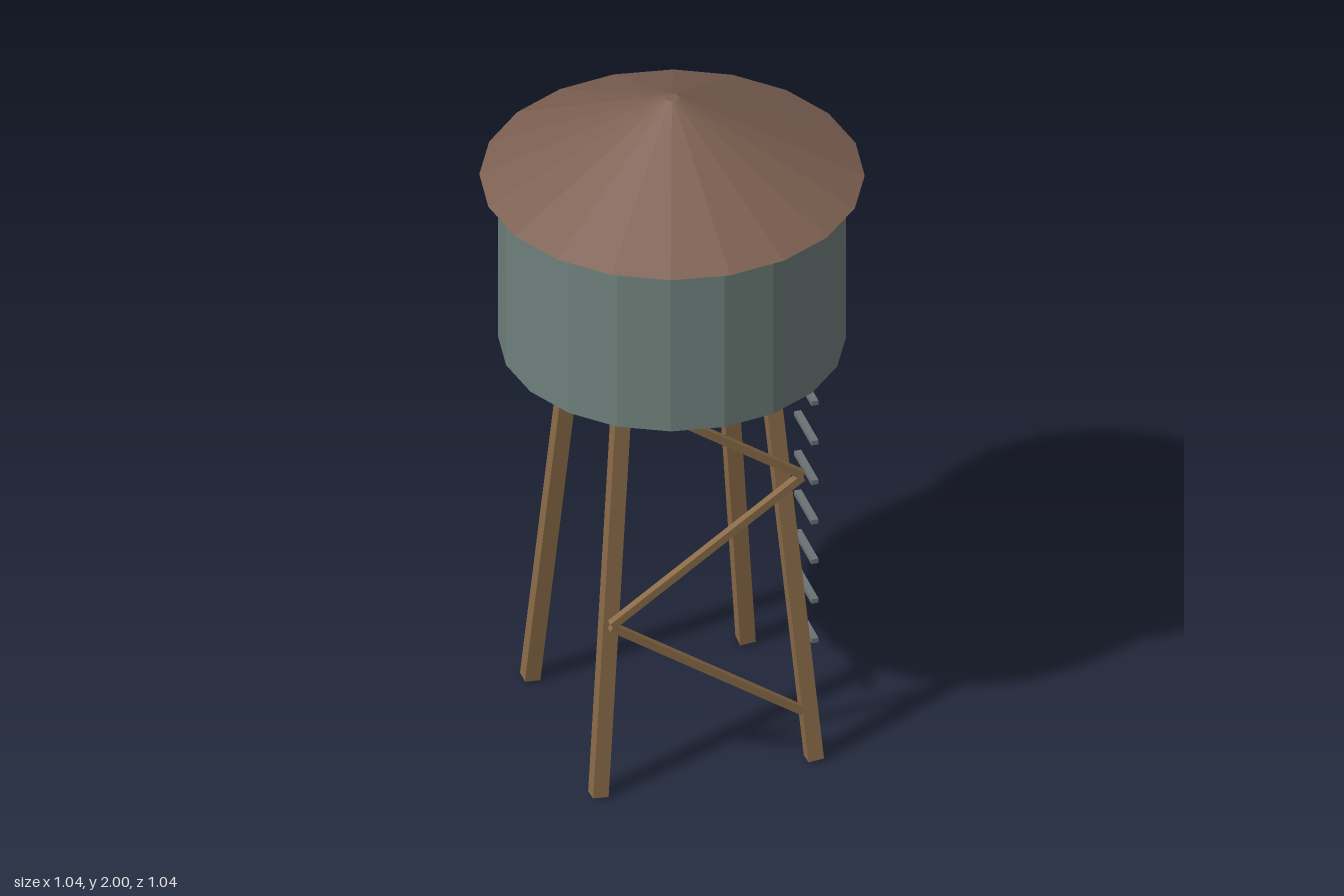
import * as THREE from 'three';

const material = (color) => new THREE.MeshStandardMaterial({ color, flatShading: true });

function addMesh(parent, name, geometry, mat) {
  const mesh = new THREE.Mesh(geometry, mat);
  mesh.name = name;
  parent.add(mesh);
  return mesh;
}

// Square beam running from point a to point b
function addBeam(parent, name, a, b, width, mat) {
  const dir = b.clone().sub(a);
  const beam = addMesh(parent, name, new THREE.BoxGeometry(width, dir.length(), width), mat);
  beam.position.copy(a).add(b).multiplyScalar(0.5);
  beam.quaternion.setFromUnitVectors(new THREE.Vector3(0, 1, 0), dir.normalize());
  return beam;
}

export function createModel() {
  const model = new THREE.Group();
  model.name = 'waterTower';
  const wood = material(0x8a6a48);
  const steel = material(0x6b7274);

  // Tank and conical roof, both twenty-sided
  const tank = addMesh(model, 'tank', new THREE.CylinderGeometry(0.47, 0.47, 0.52, 20), material(0x6f807c));
  tank.position.y = 1.49;
  const roof = addMesh(model, 'roof', new THREE.CylinderGeometry(0.02, 0.52, 0.25, 20), material(0x7d6052));
  roof.position.y = 1.875;

  // Four legs leaning inwards
  const legs = new THREE.Group();
  legs.name = 'legs';
  model.add(legs);
  for (const sx of [-1, 1]) {
    for (const sz of [-1, 1]) {
      const foot = new THREE.Vector3(sx * 0.305, 0.004, sz * 0.305);
      const head = new THREE.Vector3(sx * 0.205, 1.24, sz * 0.205);
      addBeam(legs, 'leg', foot, head, 0.044, wood);
    }
  }

  // Zigzag bracing across the front
  const braces = new THREE.Group();
  braces.name = 'braces';
  model.add(braces);
  for (let i = 0; i < 3; i++) {
    const side = i % 2 ? -1 : 1;
    const y = 0.165 + i * 0.38;
    const a = new THREE.Vector3(side * 0.27, y, 0.31);
    const b = new THREE.Vector3(-side * 0.27, y + 0.375, 0.31);
    addBeam(braces, 'brace', a, b, 0.022, wood);
  }

  // Ladder rungs on the left side
  const ladder = new THREE.Group();
  ladder.name = 'ladder';
  model.add(ladder);
  for (let i = 0; i < 8; i++) {
    const rung = addMesh(ladder, 'rung', new THREE.BoxGeometry(0.02, 0.014, 0.155), steel);
    rung.position.set(0.38, 0.222 + i * 0.1275, 0);
  }

  return model;
}
